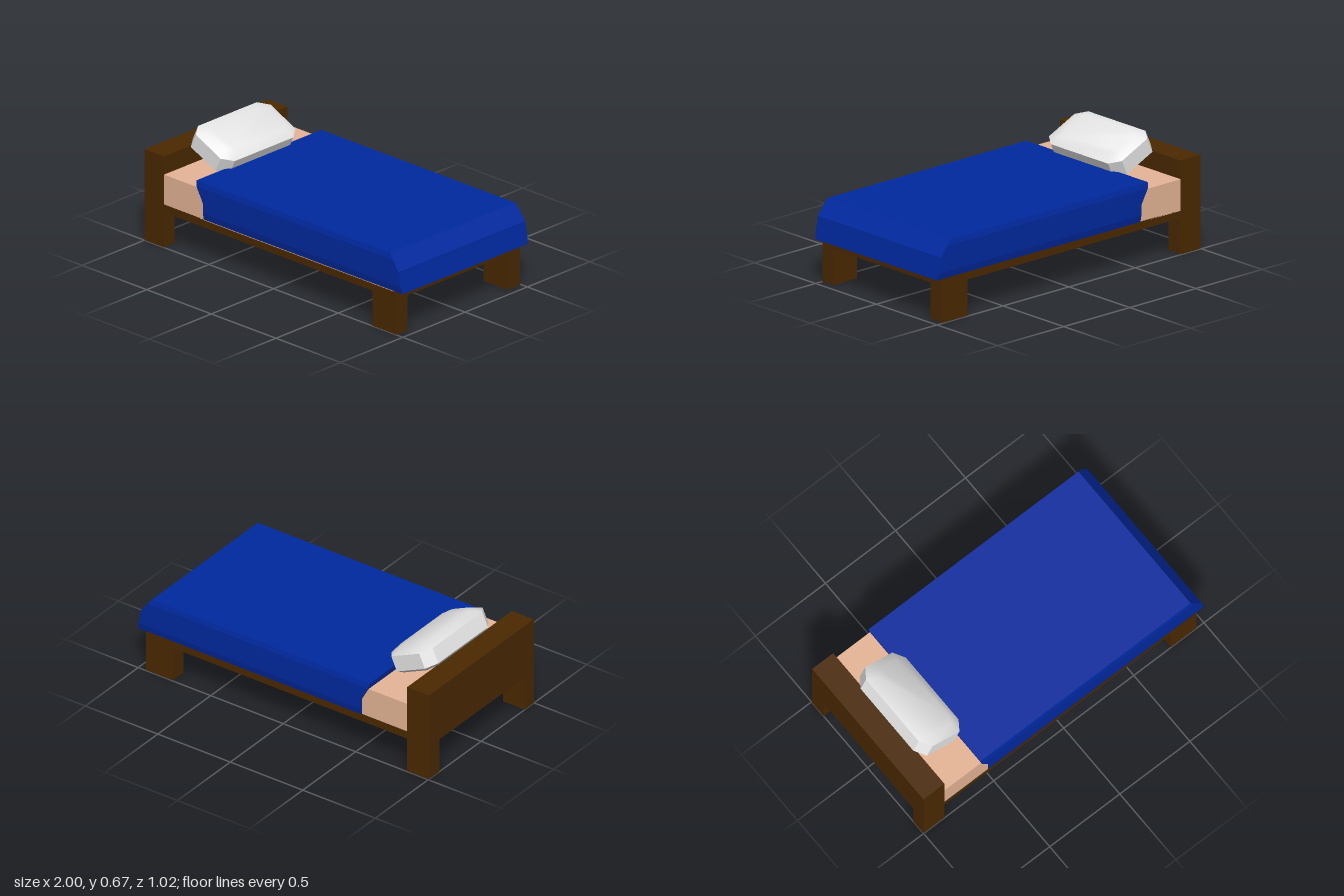
import * as THREE from 'three';
import { toCreasedNormals } from 'three/addons/utils/BufferGeometryUtils.js';

const material = (name, color) => {
  const m = new THREE.MeshStandardMaterial({ color });
  m.name = name;
  return m;
};

// Closed shape from a short list of corner points
const outline = (points) => new THREE.Shape(points.map(([x, y]) => new THREE.Vector2(x, y)));

// Closed solid through stacked rings of [x, y, z] points, sharp where faces meet steeply
function stack(rings, crease) {
  const n = rings[0].length, last = (rings.length - 1) * n;
  const index = [];
  for (let p = 0; p < last; p++) {
    const q = p % n === n - 1 ? p + 1 - n : p + 1;
    index.push(p, p + n, q, q, p + n, q + n);
  }
  for (let i = 1; i < n - 1; i++) index.push(0, i, i + 1, last, last + i + 1, last + i);
  const g = new THREE.BufferGeometry();
  g.setAttribute('position', new THREE.Float32BufferAttribute(rings.flat(2), 3));
  g.setIndex(index);
  return toCreasedNormals(g, crease);
}

export function createModel() {
  const wood = material('dark wood', 0x4b2900);
  const sheet = material('mattress tan', 0xe7b597);
  const blue = material('blanket blue', 0x0029a0);
  const white = material('pillow white', 0xeeeeee);

  const bed = new THREE.Group();
  bed.name = 'bed';

  const add = (name, geometry, mat, parent = bed) => {
    const mesh = new THREE.Mesh(geometry, mat);
    mesh.name = name;
    parent.add(mesh);
    return mesh;
  };
  // Box given by its limits on each axis
  const box = (name, [x0, x1], [y0, y1], [z0, z1], mat, parent) => {
    const g = new THREE.BoxGeometry(x1 - x0, y1 - y0, z1 - z0);
    g.translate((x0 + x1) / 2, (y0 + y1) / 2, (z0 + z1) / 2);
    return add(name, g, mat, parent);
  };

  const frame = new THREE.Group();
  frame.name = 'frame';
  bed.add(frame);
  const front = 0.498, back = -0.494, innerFront = 0.412, innerBack = -0.392;
  const low = 0.212, high = 0.26;

  // Headboard panel with its two legs in one arch-shaped piece (drawn with -z to the right)
  const arch = outline([
    [-front, 0], [-innerFront, 0], [-innerFront, low], [-innerBack, low],
    [-innerBack, 0], [-back, 0], [-back, 0.55], [-front, 0.55],
  ]);
  const headboard = new THREE.ExtrudeGeometry(arch, { depth: 0.15, bevelEnabled: false });
  headboard.rotateY(Math.PI / 2).translate(-1, 0, 0);
  add('headboard', headboard, wood, frame);

  // Side rails and foot legs
  for (const z of [[innerFront, front], [back, innerBack]]) {
    box('sideRail', [-0.85, 0.95], [low, high], z, wood, frame);
    box('footLeg', [0.765, 0.95], [0, low], z, wood, frame);
  }
  box('footRail', [0.765, 0.95], [low, high], [innerBack, innerFront], wood, frame);

  // Slats under the mattress
  for (let i = 0; i < 4; i++) {
    const x = 0.555 - i * 0.375;
    box('slat', [x - 0.15, x], [low, high], [innerBack, innerFront], wood, frame);
  }

  box('mattress', [-0.85, 0.93], [0.255, 0.44], [back, front], sheet);

  // Blanket: layers of [height, head end, foot end, half width]
  const blanketRings = [
    [0.26, -0.54, 1, 0.5], [0.3, -0.54, 0.992, 0.508], [0.36, -0.54, 0.98, 0.508],
    [0.39, -0.556, 0.975, 0.508], [0.45, -0.59, 0.929, 0.508], [0.482, -0.595, 0.905, 0.5],
  ].map(([y, x0, x1, w]) => [[x1, y, -w], [x1, y, w], [x0, y, w], [x0, y, -w]]);
  add('blanket', stack(blanketRings, 0.15), blue);

  // Pillow: cut-cornered slab, domed above, chamfered below, leaning on the headboard
  const a = 0.156, b = 0.3, cutX = 0.05, cutZ = 0.065;
  const corners = [
    [a, b - cutZ], [a - cutX, b], [cutX - a, b], [-a, b - cutZ],
    [-a, cutZ - b], [cutX - a, -b], [a - cutX, -b], [a, cutZ - b],
  ];
  // Layers of [height, inset]
  const pillowRings = [[-0.068, 0.03], [-0.047, 0], [0.047, 0], [0.078, 0.055]].map(
    ([y, inset]) => corners.map(([x, z]) => [x * (1 - inset / a), y, z * (1 - inset / b)]),
  );
  const pillow = add('pillow', stack(pillowRings, 0.65), white);
  pillow.position.set(-0.708, 0.556, 0.01);
  pillow.rotation.z = -0.43;

  return bed;
}
